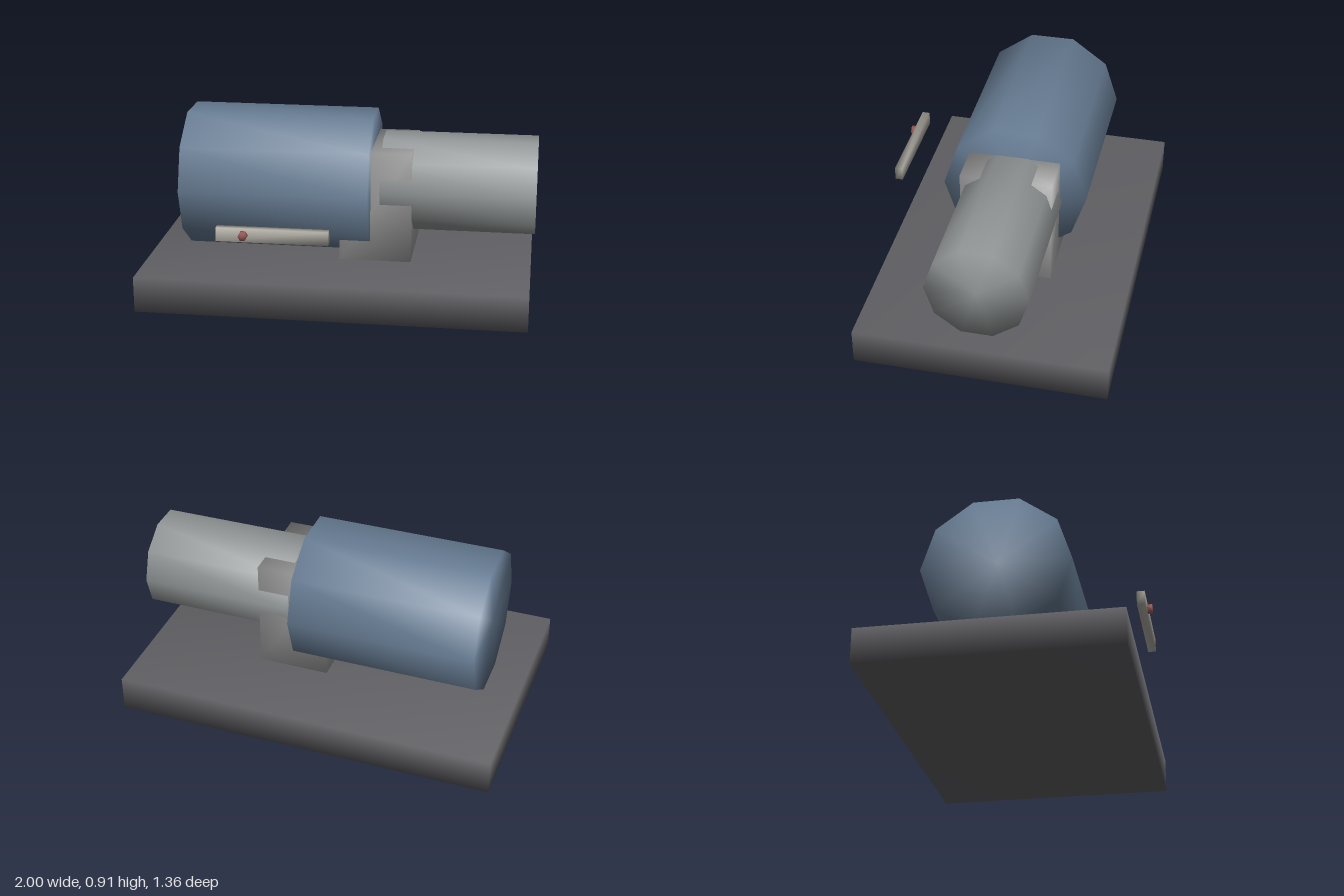
import * as THREE from 'three';
import { mergeVertices } from 'three/addons/utils/BufferGeometryUtils.js';

// Weld the corners so that shading runs smoothly over every edge
function soften(geometry) {
  geometry.deleteAttribute('normal');
  geometry.deleteAttribute('uv');
  const welded = mergeVertices(geometry, 1e-4);
  welded.computeVertexNormals();
  return welded;
}

export function createModel() {
  const model = new THREE.Group();
  model.name = 'motorOnBase';

  function add(name, geometry, color, x, y, z) {
    const mesh = new THREE.Mesh(soften(geometry), new THREE.MeshStandardMaterial({ color }));
    mesh.name = name;
    mesh.position.set(x, y, z);
    model.add(mesh);
  }

  // Box given by its lowest and highest corners
  function box(name, color, [x0, y0, z0], [x1, y1, z1]) {
    add(name, new THREE.BoxGeometry(x1 - x0, y1 - y0, z1 - z0), color,
      (x0 + x1) / 2, (y0 + y1) / 2, (z0 + z1) / 2);
  }

  // Ten-sided drum lying along x, on the shared shaft axis
  function drum(name, color, radius, x0, x1) {
    const geometry = new THREE.CylinderGeometry(radius, radius, x1 - x0, 10).rotateZ(-Math.PI / 2);
    add(name, geometry, color, (x0 + x1) / 2, 0.559, -0.035);
  }

  // Base plate
  box('basePlate', 0x606064, [-1, 0, -0.68], [0.985, 0.185, 0.607]);

  // Two drums that run through the support block
  drum('largeDrum', 0x667b92, 0.374, -0.822, 0.155);
  drum('smallDrum', 0x919595, 0.257, 0.203, 1);
  box('supportBlock', 0xa0a0a0, [-0.005, 0.185, -0.27], [0.366, 0.766, 0.2]);

  // Control bar beside the base, with its button
  box('controlBar', 0xa8a59c, [-0.556, 0.42, 0.615], [0.003, 0.49, 0.655]);
  const button = new THREE.CylinderGeometry(0.024, 0.024, 0.025, 6)
    .rotateX(Math.PI / 2).rotateZ(Math.PI / 2);
  add('button', button, 0x9a5a5a, -0.418, 0.457, 0.667);

  return model;
}
